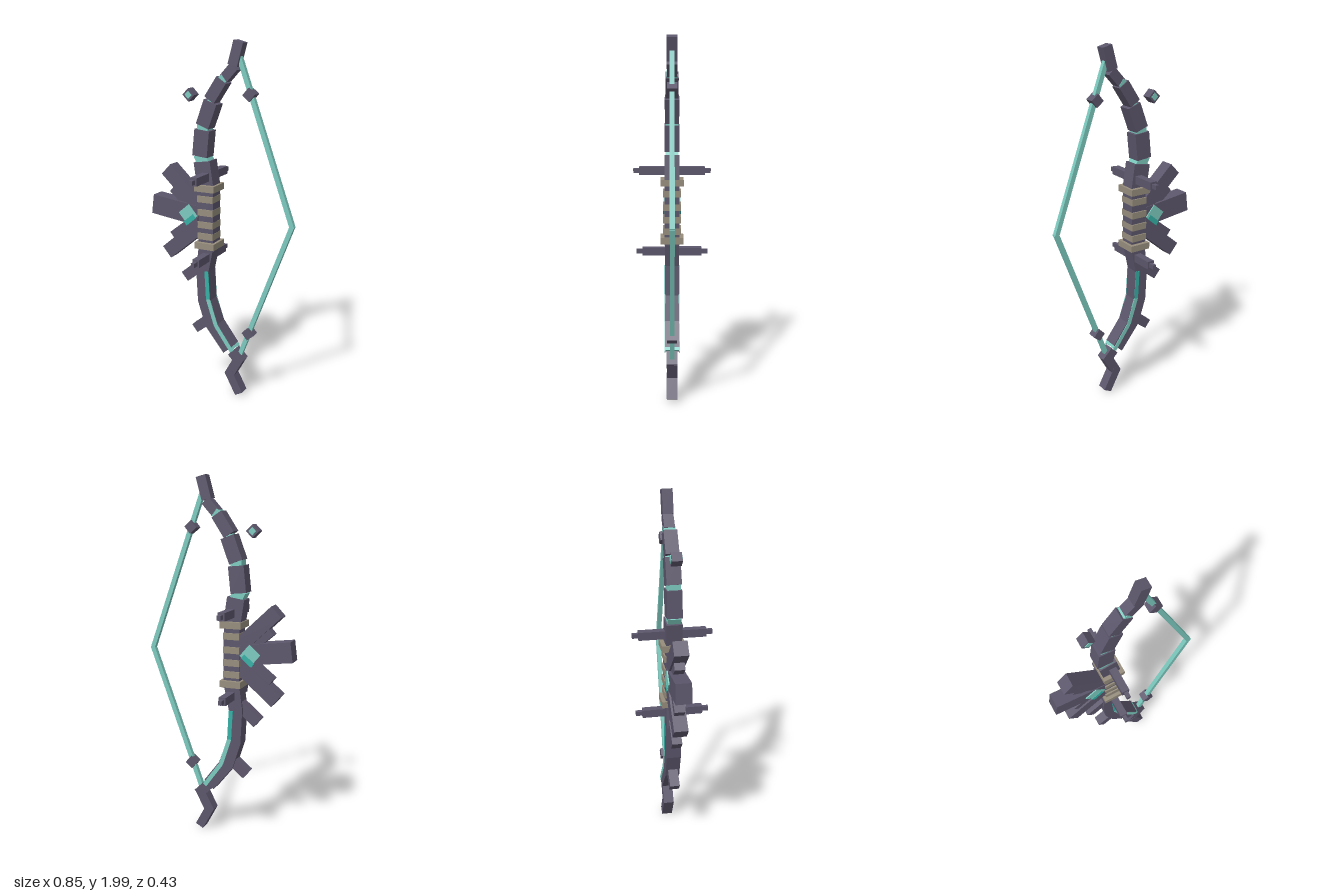
import * as THREE from 'three';

const mat = (name, color) => {
  const m = new THREE.MeshStandardMaterial({ color });
  m.name = name;
  return m;
};

export function createModel() {
  const dark = mat('dark slate', 0x5c566b);
  const tan = mat('tan wrap', 0x968d7c);
  const teal = mat('light teal', 0x7ccabf);
  const deep = mat('deep teal', 0x35b0a6);
  const bow = new THREE.Group();
  bow.name = 'bow';

  const box = (name, m, x, y, z, w, h, d, turn = 0) => {
    const mesh = new THREE.Mesh(new THREE.BoxGeometry(w, h, d), m);
    mesh.name = name;
    mesh.position.set(x, y, z);
    mesh.rotation.z = turn;
    bow.add(mesh);
    return mesh;
  };
  // Square-cut bar between two points in the plane of the bow
  const bar = (name, m, [x0, y0, x1, y1], w, d) =>
    box(name, m, (x0 + x1) / 2, (y0 + y1) / 2, 0, w, Math.hypot(x1 - x0, y1 - y0), d,
      Math.atan2(x0 - x1, y1 - y0));

  // Upper limb: separate blocks that taper towards the tip
  const upper = [
    [-0.082, 1.21, -0.105, 1.36, 0.098, 0.084],
    [-0.119, 1.387, -0.104, 1.53, 0.088, 0.08],
    [-0.103, 1.55, -0.054, 1.68, 0.078, 0.078],
    [-0.062, 1.69, 0.008, 1.795, 0.065, 0.07],
    [0.017, 1.802, 0.075, 1.865, 0.052, 0.055],
    [0.068, 1.87, 0.101, 1.99, 0.055, 0.055],
  ];
  upper.forEach(([x0, y0, x1, y1, w, d]) => bar('upperLimbBlock', dark, [x0, y0, x1, y1], w, d));

  // Glowing cores in the gaps between the blocks
  for (let i = 0; i < 4; i++) {
    const a = upper[i], b = upper[i + 1];
    const dx = b[0] - a[2], dy = b[1] - a[3];
    bar('glowingJoint', teal, [a[2] - dx * 0.5, a[3] - dy * 0.5, b[0] + dx * 0.5, b[1] + dy * 0.5],
      a[4] * 0.7, a[5] * 0.85);
  }

  // Lower limb: one curved piece
  const outline = [
    [-0.128, 0.88], [-0.146, 0.75], [-0.136, 0.555], [-0.09, 0.41], [0.025, 0.265],
    [0.08, 0.315], [-0.01, 0.435], [-0.058, 0.57], [-0.068, 0.74], [-0.038, 0.88],
  ].map(([x, y]) => new THREE.Vector2(x, y));
  const limbGeo = new THREE.ExtrudeGeometry(new THREE.Shape(outline), { depth: 0.08, bevelEnabled: false });
  limbGeo.translate(0, 0, -0.04);
  const limb = new THREE.Mesh(limbGeo, dark);
  limb.name = 'lowerLimb';
  bow.add(limb);

  // Inlay along the inner edge, on both faces
  const inlay = [[-0.08, 0.74], [-0.071, 0.575], [-0.022, 0.425], [0.078, 0.285]];
  for (let i = 0; i < 3; i++) {
    for (const s of [1, -1]) {
      const strip = bar('limbInlay', i === 0 ? deep : teal, [...inlay[i], ...inlay[i + 1]], 0.024, 0.006);
      strip.position.z = s * 0.0405;
    }
  }
  box('inlayEnd', teal, 0.075, 0.3, 0, 0.02, 0.016, 0.082, 0.7);

  // Hooked lower tip
  bar('lowerTipJoint', dark, [0.07, 0.275, 0.127, 0.218], 0.058, 0.06);
  bar('lowerTipUpper', dark, [0.117, 0.245, 0.052, 0.125], 0.055, 0.058);
  bar('lowerTipHook', dark, [0.05, 0.15, 0.118, 0.022], 0.05, 0.06);

  // Grip with wraps and collars
  box('grip', dark, -0.083, 1.055, 0, 0.09, 0.38, 0.084);
  for (const y of [1.155, 1.08, 1.01, 0.945])
    box('gripWrap', tan, -0.083, y, 0, 0.093, 0.036, 0.1);
  for (const y of [1.217, 0.893])
    box('gripCollar', tan, -0.082, y, 0, 0.12, 0.036, 0.128);

  // Cross pegs with thin ends
  for (const [y, inner, outer] of [[1.28, 0.18, 0.213], [0.825, 0.165, 0.2]]) {
    box('crossPeg', dark, -0.08, y, 0, 0.04, 0.044, inner * 2);
    box('crossPegEnd', dark, -0.08, y, 0, 0.021, 0.024, outer * 2);
  }

  // Fan of spikes on the outer side, and small spurs below
  bar('middleSpike', dark, [-0.418, 1.093, -0.13, 1.055], 0.11, 0.084);
  bar('upperSpike', dark, [-0.33, 1.3, -0.12, 1.1], 0.08, 0.076);
  bar('lowerSpike', dark, [-0.335, 0.818, -0.13, 0.99], 0.08, 0.076);
  bar('upperSmallSpike', dark, [-0.295, 1.195, -0.14, 1.06], 0.055, 0.055);
  bar('lowerSmallSpike', dark, [-0.3, 0.915, -0.14, 1.04], 0.055, 0.055);
  bar('upperSpur', dark, [-0.227, 0.683, -0.11, 0.78], 0.062, 0.055);
  bar('lowerSpur', dark, [-0.165, 0.375, -0.065, 0.455], 0.055, 0.055);

  // Gem at the root of the fan, with a deeper lower facet
  box('gem', teal, -0.19, 1.06, 0, 0.082, 0.082, 0.096, 0.7);
  for (const s of [1, -1])
    box('gemFacet', deep, -0.178, 1.03, s * 0.0475, 0.075, 0.028, 0.006, 0.7);

  // Floating fragment with glowing faces
  box('floatingFragment', dark, -0.19, 1.71, 0, 0.05, 0.05, 0.054, Math.PI / 4);
  box('fragmentGlow', teal, -0.19, 1.71, 0, 0.03, 0.03, 0.06, Math.PI / 4);

  // Drawn string with knots
  bar('upperString', teal, [0.095, 1.92, 0.41, 1.045], 0.025, 0.025);
  bar('lowerString', teal, [0.11, 0.25, 0.41, 1.06], 0.025, 0.025);
  box('upperKnot', dark, 0.161, 1.726, 0, 0.05, 0.05, 0.054, 0.87);
  box('lowerKnot', dark, 0.168, 0.402, 0, 0.05, 0.05, 0.054, 0.7);

  return bow;
}
